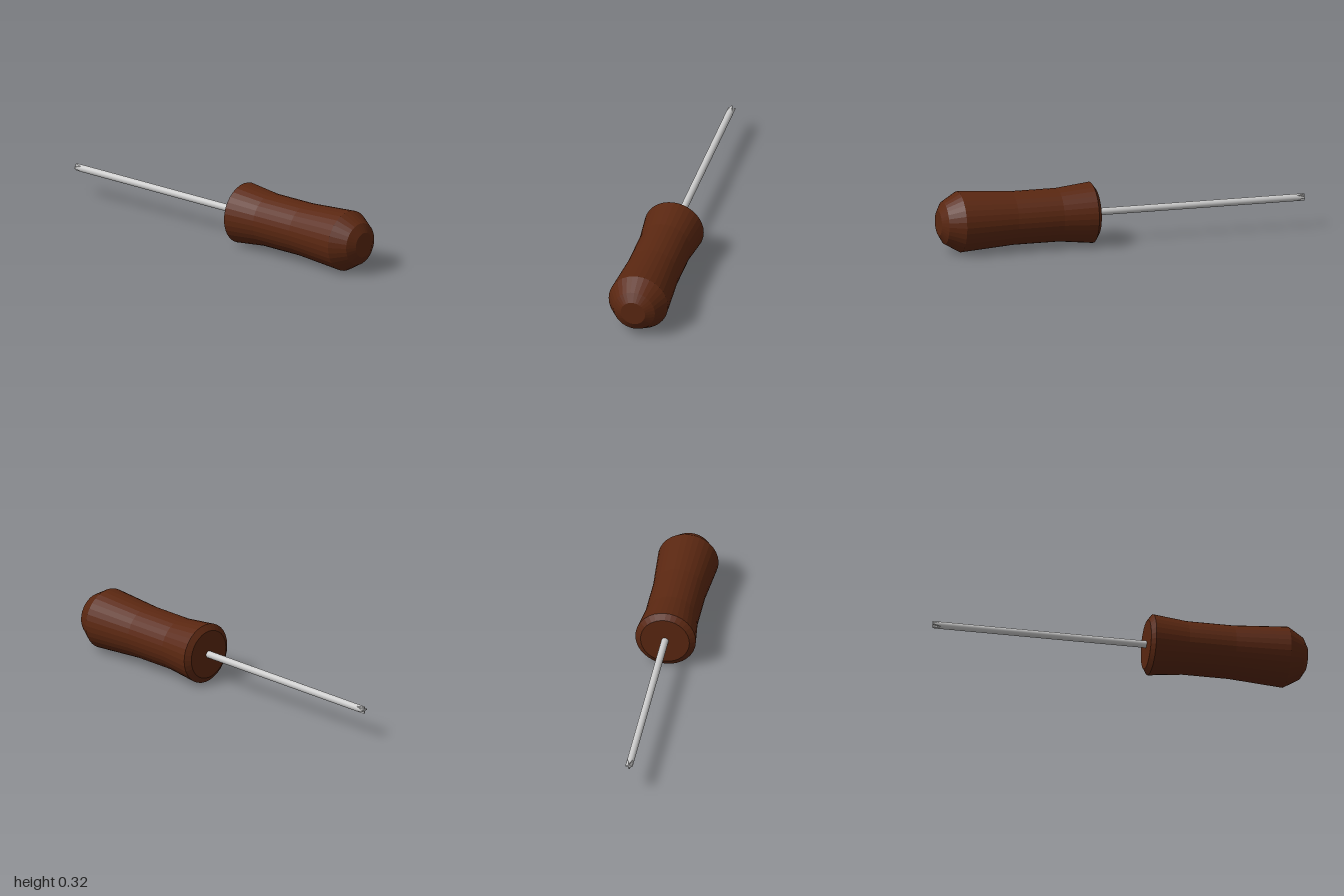
import * as THREE from 'three';

const AXIS_Y = 0.162;
const SHAFT_R = 0.019;

export function createModel() {
  const group = new THREE.Group();
  const wood = new THREE.MeshStandardMaterial({ color: 0x5a2711, flatShading: true });
  const steel = new THREE.MeshStandardMaterial({ color: 0xcccccc });
  const flutedSteel = new THREE.MeshStandardMaterial({ color: 0xcccccc, flatShading: true });

  // Adds a part whose local +y axis runs along +z, at height AXIS_Y
  const add = (name, geometry, material, z = 0) => {
    const mesh = new THREE.Mesh(geometry.rotateX(Math.PI / 2), material);
    mesh.name = name;
    mesh.position.set(0, AXIS_Y, z);
    group.add(mesh);
  };

  // Waisted grip, turned from [radius, z] points
  const profile = [
    [0, 0.145], [0.13, 0.145], [0.161, 0.167], [0.141, 0.35], [0.141, 0.6],
    [0.161, 0.89], [0.112, 0.973], [0.066, 1], [0, 1],
  ].map(([r, z]) => new THREE.Vector2(r, z));
  add('handle', new THREE.LatheGeometry(profile, 32), wood);

  // Round shaft, running a little way into the handle
  const back = -0.955, front = 0.2;
  add('shaft', new THREE.CylinderGeometry(SHAFT_R, SHAFT_R, front - back, 32, 1, true),
    steel, (front + back) / 2);

  // Cross tip: four flutes deepen towards the end, leaving four thin fins
  const length = 1 + back;
  const tip = new THREE.CylinderGeometry(SHAFT_R, SHAFT_R, length, 32, 3);
  const pos = tip.attributes.position;
  for (let i = 0; i < pos.count; i++) {
    const x = pos.getX(i), z = pos.getZ(i);
    const t = 0.5 - pos.getY(i) / length;
    const finHalf = SHAFT_R * THREE.MathUtils.lerp(0.71, 0.2, t);
    const inner = Math.min(Math.abs(x), Math.abs(z));
    const s = inner > finHalf ? finHalf / inner : 1;
    pos.setX(i, x * s);
    pos.setZ(i, z * s);
  }
  tip.computeVertexNormals();
  add('crossTip', tip, flutedSteel, back - length / 2);

  return group;
}
